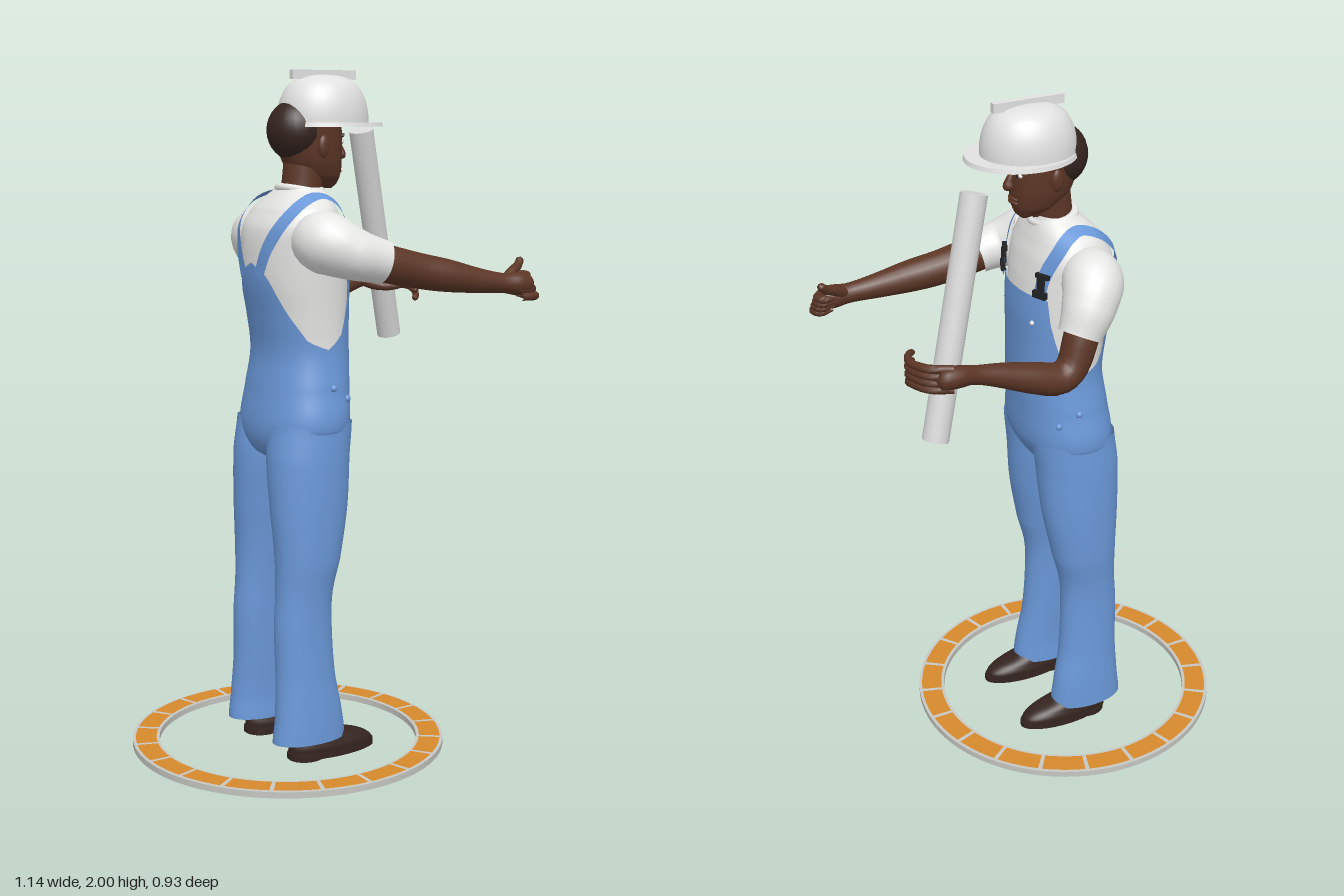
import * as THREE from 'three';
import { ParametricGeometry } from 'three/addons/geometries/ParametricGeometry.js';

const V = (x, y, z) => new THREE.Vector3(x, y, z);
const mat = (name, color, side = THREE.FrontSide) => {
  const m = new THREE.MeshStandardMaterial({ color, side });
  m.name = name;
  return m;
};

// Smoothly interpolate rows [y, cx, rx, rz, cz] at a height
function rowAt(rows, y) {
  let i = 0;
  while (i < rows.length - 2 && y > rows[i + 1][0]) i++;
  const a = rows[Math.max(i - 1, 0)], b = rows[i], c = rows[i + 1], d = rows[Math.min(i + 2, rows.length - 1)];
  const f = THREE.MathUtils.clamp((y - b[0]) / (c[0] - b[0]), 0, 1);
  return [1, 2, 3, 4].map((k) => {
    const [p, q, r, s] = [a, b, c, d].map((row) => row[k] || 0);
    return q + 0.5 * f * (r - p + f * (2 * p - 5 * q + 4 * r - s + f * (3 * (q - r) + s - p)));
  });
}

// Point on a rounded body; angle 0 faces +x
function surf(rows, y, angle, off = 0, power = 0.88) {
  const [cx, rx, rz, cz] = rowAt(rows, y);
  const c = Math.cos(angle), s = Math.sin(angle);
  return V(cx + (rx + off) * Math.sign(c) * Math.abs(c) ** power, y, cz + (rz + off) * Math.sign(s) * Math.abs(s) ** power);
}

// Body surface between two heights; the top edge may vary with the angle
function loft(rows, { from = rows[0][0], top = () => rows[rows.length - 1][0], off = 0, power = 0.88 } = {}) {
  return new ParametricGeometry((u, v, t) => {
    const a = -u * Math.PI * 2;
    t.copy(surf(rows, from + (top(a) - from) * v, a, off, power));
  }, 56, 40);
}

// Tapered tube through [x, y, z, radius]
function limb(pts, sides = 20, steps = 28) {
  const path = new THREE.CatmullRomCurve3(pts.map((p) => V(p[0], p[1], p[2])));
  const radii = new THREE.SplineCurve(pts.map((p, i) => new THREE.Vector2(i, p[3])));
  const ref = V(1, 1, 1);
  return new ParametricGeometry((u, v, t) => {
    const T = path.getTangent(v), N = V().crossVectors(ref, T).normalize(), B = V().crossVectors(T, N);
    const r = Math.max(radii.getPoint(v).y, 0.001), a = u * Math.PI * 2;
    t.copy(path.getPoint(v)).addScaledVector(N, r * Math.cos(a)).addScaledVector(B, r * Math.sin(a));
  }, sides, steps);
}

const TORSO = [
  [0.86, -0.085, 0.03, 0.03], [0.91, -0.087, 0.1, 0.13], [0.98, -0.077, 0.13, 0.188], [1.1, -0.066, 0.126, 0.175],
  [1.2, -0.058, 0.121, 0.16], [1.3, -0.064, 0.127, 0.162], [1.4, -0.072, 0.136, 0.168], [1.5, -0.078, 0.132, 0.175],
  [1.56, -0.08, 0.122, 0.178], [1.61, -0.074, 0.1, 0.155], [1.64, -0.064, 0.08, 0.12], [1.67, -0.055, 0.06, 0.075],
];
const LEG = [
  [0.06, -0.108, 0.116, 0.066, 0.135], [0.13, -0.108, 0.108, 0.063, 0.135], [0.25, -0.115, 0.094, 0.062, 0.128], [0.4, -0.12, 0.09, 0.063, 0.123],
  [0.5, -0.115, 0.088, 0.067, 0.121], [0.6, -0.102, 0.1, 0.078, 0.12], [0.75, -0.092, 0.118, 0.09, 0.11],
  [0.9, -0.087, 0.126, 0.099, 0.098], [1.0, -0.076, 0.125, 0.095, 0.096],
];
const HEAD = [
  [1.664, 0.035, 0.012, 0.015], [1.675, 0.024, 0.036, 0.036], [1.7, 0.002, 0.068, 0.06], [1.74, -0.014, 0.088, 0.074],
  [1.8, -0.024, 0.098, 0.08], [1.86, -0.03, 0.1, 0.08], [1.92, -0.02, 0.07, 0.06],
];
const SHOE = [
  [0.015, -0.03, 0.139, 0.053], [0.035, -0.032, 0.137, 0.055], [0.055, -0.045, 0.118, 0.05], [0.075, -0.075, 0.085, 0.045], [0.12, -0.095, 0.06, 0.042],
];
// Overall top edge: [angle from the front, height]
const EDGE = [[0, 1.46], [0.78, 1.46], [0.92, 1.37], [1.2, 1.26], [1.57, 1.215], [2, 1.24], [2.4, 1.32], [2.75, 1.42], [3.15, 1.46]];
function edge(angle) {
  const a = Math.acos(Math.cos(angle));
  const i = Math.max(EDGE.findIndex((e) => e[0] >= a), 1), [p, q] = [EDGE[i - 1], EDGE[i]];
  return THREE.MathUtils.mapLinear(a, p[0], q[0], p[1], q[1]);
}

export function createModel() {
  const model = new THREE.Group();
  const blue = mat('overallBlue', 0x6a98d8, THREE.DoubleSide), white = mat('shirtWhite', 0xe9eae8, THREE.DoubleSide);
  const skin = mat('skinBrown', 0x5c3626), dark = mat('hairAndShoeBrown', 0x35241f), black = mat('buckleBlack', 0x222226);
  const shell = mat('helmetWhite', 0xe0e1e0, THREE.DoubleSide), paper = mat('paperGrey', 0xd8d8d8);
  const grey = mat('ringGrey', 0xc6c6c2), orange = mat('tileOrange', 0xd68a2c);
  const add = (name, geo, material, pos = [0, 0, 0], scale = [1, 1, 1]) => {
    const m = new THREE.Mesh(geo, material);
    m.name = name;
    m.position.set(...pos);
    m.scale.set(...scale);
    model.add(m);
    return m;
  };
  const ball = new THREE.SphereGeometry(1, 24, 16);

  // Floor ring with twenty tiles
  const ring = new THREE.Shape().absarc(0, 0, 0.467, 0, Math.PI * 2);
  ring.holes.push(new THREE.Path().absarc(0, 0, 0.387, 0, Math.PI * 2, true));
  add('floorRing', new THREE.ExtrudeGeometry(ring, { depth: 0.018, bevelEnabled: false, curveSegments: 48 }), grey, [-0.1, 0.013, 0]).rotation.x = -Math.PI / 2;
  const step = Math.PI / 10;
  for (let i = 0; i < 20; i++) {
    add('floorTile', new THREE.RingGeometry(0.396, 0.458, 6, 1, i * step + 0.014, step - 0.028), orange, [-0.1, 0.0325, 0]).rotation.x = -Math.PI / 2;
  }

  // Clothes on the body
  add('shirt', loft(TORSO, { from: 1.15 }), white);
  add('overalls', loft(TORSO, { top: edge, off: 0.006 }), blue);
  add('collar', new THREE.TorusGeometry(0.062, 0.012, 10, 32), white, [-0.053, 1.657, 0], [1, 1.1, 1]).rotation.set(Math.PI / 2, -0.2, 0);

  for (const s of [1, -1]) {
    // Legs and shoes
    const leg = LEG.map(([y, cx, rx, rz, cz]) => [y, cx, rx, rz, cz * s]);
    add('trouserLeg', loft(leg, { power: 0.95 }), blue);
    add('shoe', loft(SHOE.map((r) => [...r, 0.132 * s]), { power: 0.9 }), dark);
    const sole = new THREE.CylinderGeometry(1, 1, 0.018, 32);
    add('sole', sole, dark, [-0.03, 0.014, 0.132 * s], [0.146, 1, 0.057]);
    add('heel', sole, dark, [-0.115, 0.009, 0.132 * s], [0.055, 1, 0.048]);

    // Shoulder strap following the torso
    const path = new THREE.CatmullRomCurve3([
      [0.6, 1.45], [0.66, 1.53], [0.9, 1.59], [1.2, 1.625], [1.6, 1.64], [2.1, 1.62], [2.5, 1.57], [2.75, 1.5], [2.95, 1.42],
    ].map(([a, y]) => surf(TORSO, y, a * s, 0.011).add(V(0, y > 1.57 ? 0.01 : 0, 0))));
    add('strap', new ParametricGeometry((u, v, t) => {
      const p = path.getPoint(v);
      const n = p.clone().sub(V(-0.075, Math.min(p.y, 1.53), p.z * 0.6)).normalize();
      t.copy(p).addScaledVector(path.getTangent(v).cross(n).normalize(), (u - 0.5) * 0.042);
    }, 4, 48), blue);

    // Buckles and buttons
    for (const [y, w, h] of [[1.475, 0.045, 0.02], [1.505, 0.022, 0.04], [1.53, 0.045, 0.012]]) {
      const p = surf(TORSO, y, 0.63 * s, 0.014);
      add('buckle', new THREE.BoxGeometry(0.014, h, w), black, p.toArray()).rotation.y = -0.4 * s;
    }
    for (const [x, y] of [[-0.055, 1.105], [0.0, 1.07]]) {
      const a = Math.acos((x + 0.066) / 0.13);
      add('sideButton', ball, blue, surf(TORSO, y, a * s, 0.007).toArray(), [0.01, 0.01, 0.008]);
    }
    // Ears, eyes and brows
    add('ear', ball, skin, [-0.025, 1.785, 0.083 * s], [0.018, 0.032, 0.011]);
    add('eye', ball, white, [0.064, 1.797, 0.032 * s], [0.007, 0.006, 0.013]);
    add('pupil', ball, black, [0.0695, 1.797, 0.031 * s], [0.003, 0.006, 0.006]);
    add('brow', new THREE.BoxGeometry(0.009, 0.008, 0.038), dark, [0.066, 1.815, 0.034 * s]).rotation.set(-0.15 * s, -0.4 * s, 0);
  }
  add('bibButton', ball, white, surf(TORSO, 1.38, -0.5, 0.007).toArray(), [0.007, 0.007, 0.007]);

  // Head
  add('neck', limb([[-0.06, 1.58, 0, 0.062], [-0.05, 1.66, 0, 0.059], [-0.035, 1.76, 0, 0.062]]), skin);
  add('head', loft(HEAD, { power: 0.94 }), skin);
  add('hair', ball, dark, [-0.068, 1.83, 0], [0.084, 0.088, 0.084]);
  add('nose', limb([[0.066, 1.805, 0, 0.007], [0.08, 1.775, 0, 0.012], [0.082, 1.757, 0, 0.016], [0.077, 1.747, 0, 0.002]], 12, 12), skin);
  for (const y of [1.724, 1.713]) add('lip', ball, skin, [0.066, y, 0], [0.014, 0.007, 0.026]);

  // Hard hat
  const dome = [[1, 0], [0.98, 0.28], [0.9, 0.56], [0.74, 0.8], [0.5, 0.94], [0.25, 0.99], [0.001, 1]];
  const profile = new THREE.SplineCurve(dome.map((p) => new THREE.Vector2(...p))).getPoints(24);
  add('helmetDome', new THREE.LatheGeometry(profile, 40), shell, [0.022, 1.845, 0], [0.138, 0.142, 0.12]);
  add('helmetBrim', new THREE.CylinderGeometry(0.98, 1, 0.012, 48), shell, [0.045, 1.846, 0], [0.161, 1, 0.14]);
  add('helmetRidge', new THREE.BoxGeometry(0.212, 0.026, 0.02), shell, [0.023, 1.987, 0]);

  // Pointing arm with the thumb up
  add('sleeve', limb([[-0.09, 1.525, 0.12, 0.075], [-0.082, 1.52, 0.19, 0.088], [-0.02, 1.49, 0.238, 0.074], [0.03, 1.475, 0.25, 0.066], [0.066, 1.465, 0.254, 0.063]]), white);
  add('arm', limb([[-0.02, 1.49, 0.24, 0.05], [0.06, 1.465, 0.253, 0.054], [0.18, 1.437, 0.262, 0.051], [0.27, 1.42, 0.278, 0.047],
    [0.37, 1.402, 0.295, 0.036], [0.45, 1.392, 0.305, 0.029], [0.5, 1.388, 0.31, 0.034], [0.54, 1.385, 0.311, 0.026], [0.548, 1.384, 0.311, 0.001]]), skin);
  for (let i = 0; i < 4; i++) {
    const y = 1.352 + i * 0.019, z = 0.33 - i * 0.014;
    add('finger', limb([[0.49, y, z + 0.012, 0.011], [0.538, y, z + 0.008, 0.0125], [0.556, y, z - 0.012, 0.0125], [0.54, y, z - 0.035, 0.012], [0.505, y, z - 0.036, 0.002]], 10, 14), skin);
  }
  add('thumb', limb([[0.465, 1.398, 0.295, 0.016], [0.505, 1.422, 0.278, 0.016], [0.537, 1.437, 0.262, 0.013], [0.552, 1.454, 0.252, 0.011], [0.555, 1.461, 0.25, 0.001]], 12, 16), skin);

  // Bent arm holding the roll
  add('sleeve', limb([[-0.09, 1.53, -0.12, 0.075], [-0.078, 1.52, -0.195, 0.086], [-0.045, 1.465, -0.235, 0.076], [-0.01, 1.395, -0.25, 0.062]]), white);
  add('arm', limb([[-0.05, 1.47, -0.235, 0.05], [-0.015, 1.39, -0.25, 0.05], [0.02, 1.31, -0.262, 0.046], [0.06, 1.288, -0.267, 0.046],
    [0.14, 1.308, -0.268, 0.044], [0.24, 1.34, -0.27, 0.034], [0.32, 1.362, -0.276, 0.026], [0.37, 1.372, -0.284, 0.031], [0.42, 1.373, -0.284, 0.028], [0.435, 1.373, -0.282, 0.001]]), skin);
  for (let i = 0; i < 4; i++) {
    const y = 1.4 - i * 0.02, w = (i - 1.5) * 0.004;
    add('finger', limb([[0.385, y, -0.29, 0.012], [0.445, y + 0.004, -0.268, 0.0125], [0.472, y, -0.21, 0.0115], [0.46, y - 0.012 - w, -0.155, 0.01], [0.432, y - 0.022 - w, -0.118, 0.009], [0.425, y - 0.024, -0.112, 0.001]], 10, 18), skin);
  }
  add('thumb', limb([[0.33, 1.36, -0.265, 0.016], [0.345, 1.35, -0.215, 0.016], [0.38, 1.345, -0.187, 0.013], [0.42, 1.35, -0.18, 0.011], [0.432, 1.352, -0.18, 0.001]], 12, 16), skin);

  // Paper roll
  const a = V(0.432, 1.185, -0.263), b = V(0.262, 1.828, -0.168), axis = b.clone().sub(a);
  const roll = add('paperRoll', new THREE.CylinderGeometry(0.037, 0.037, axis.length(), 32), paper, a.clone().add(b).multiplyScalar(0.5).toArray());
  roll.quaternion.setFromUnitVectors(V(0, 1, 0), axis.normalize());
  return model;
}
